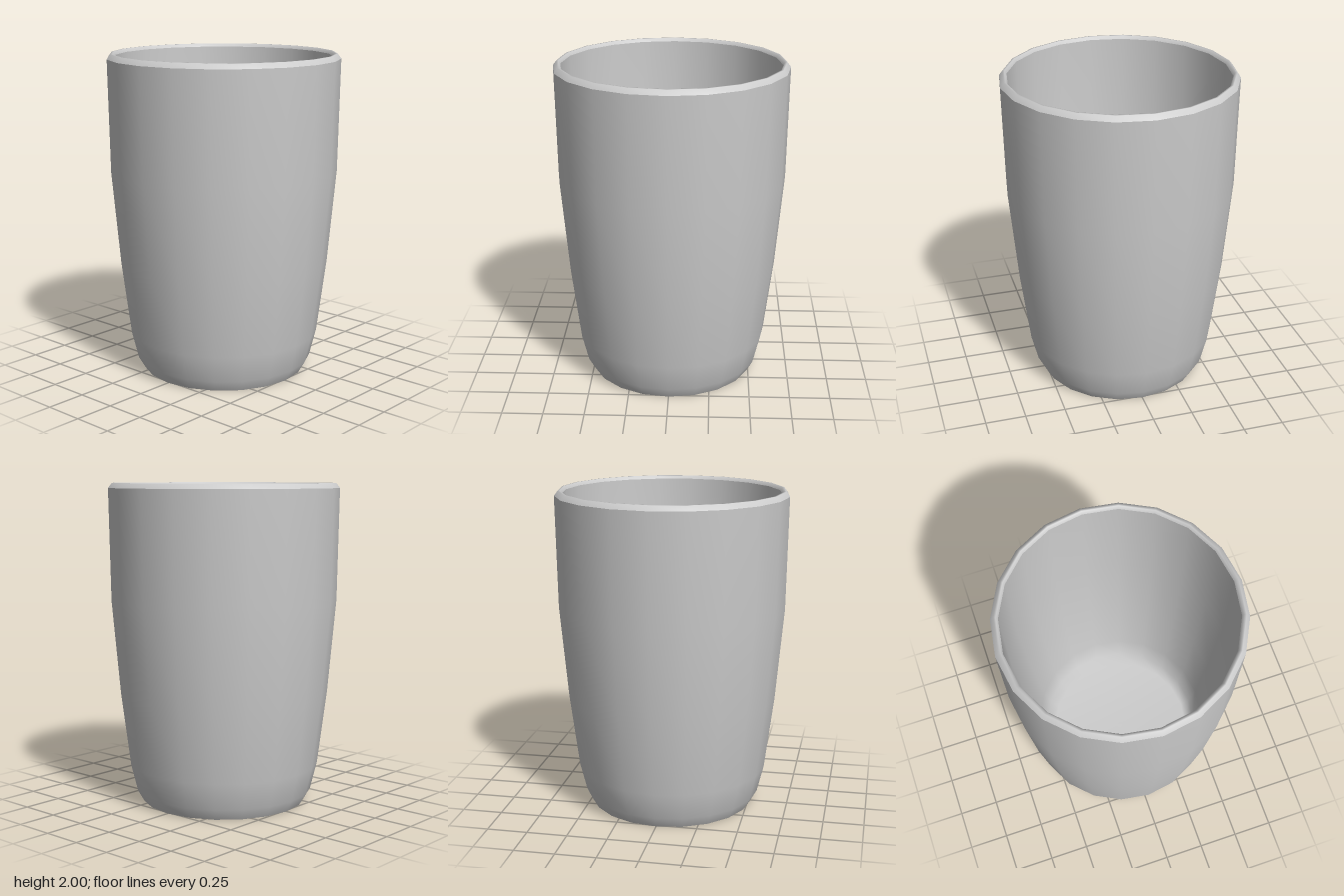
import * as THREE from 'three';

const SIDES = 20;

export function createModel() {
  const cup = new THREE.Group();
  cup.name = 'cup';
  const material = new THREE.MeshStandardMaterial({ color: 0xcccccc });

  // Each section is turned on its own, so the edges between sections stay sharp
  const addSection = (name, profile) => {
    const points = profile.map(([r, y]) => new THREE.Vector2(r, y));
    const mesh = new THREE.Mesh(new THREE.LatheGeometry(points, SIDES), material);
    mesh.name = name;
    cup.add(mesh);
  };

  // Flat underside
  addSection('base', [[0, 0], [0.515, 0]]);

  // Tapered outside with a rounded foot
  addSection('outerWall', [
    [0.515, 0], [0.555, 0.07], [0.597, 0.24], [0.655, 0.7], [0.706, 1.28], [0.718, 1.97],
  ]);

  // Bevelled lip
  addSection('rim', [[0.718, 1.97], [0.695, 2], [0.683, 2], [0.672, 1.98]]);

  // Inside wall running smoothly into the floor
  addSection('innerWall', [
    [0.672, 1.98], [0.662, 1.28], [0.612, 0.7], [0.555, 0.25], [0.515, 0.1], [0.46, 0.05], [0, 0.05],
  ]);

  return cup;
}
